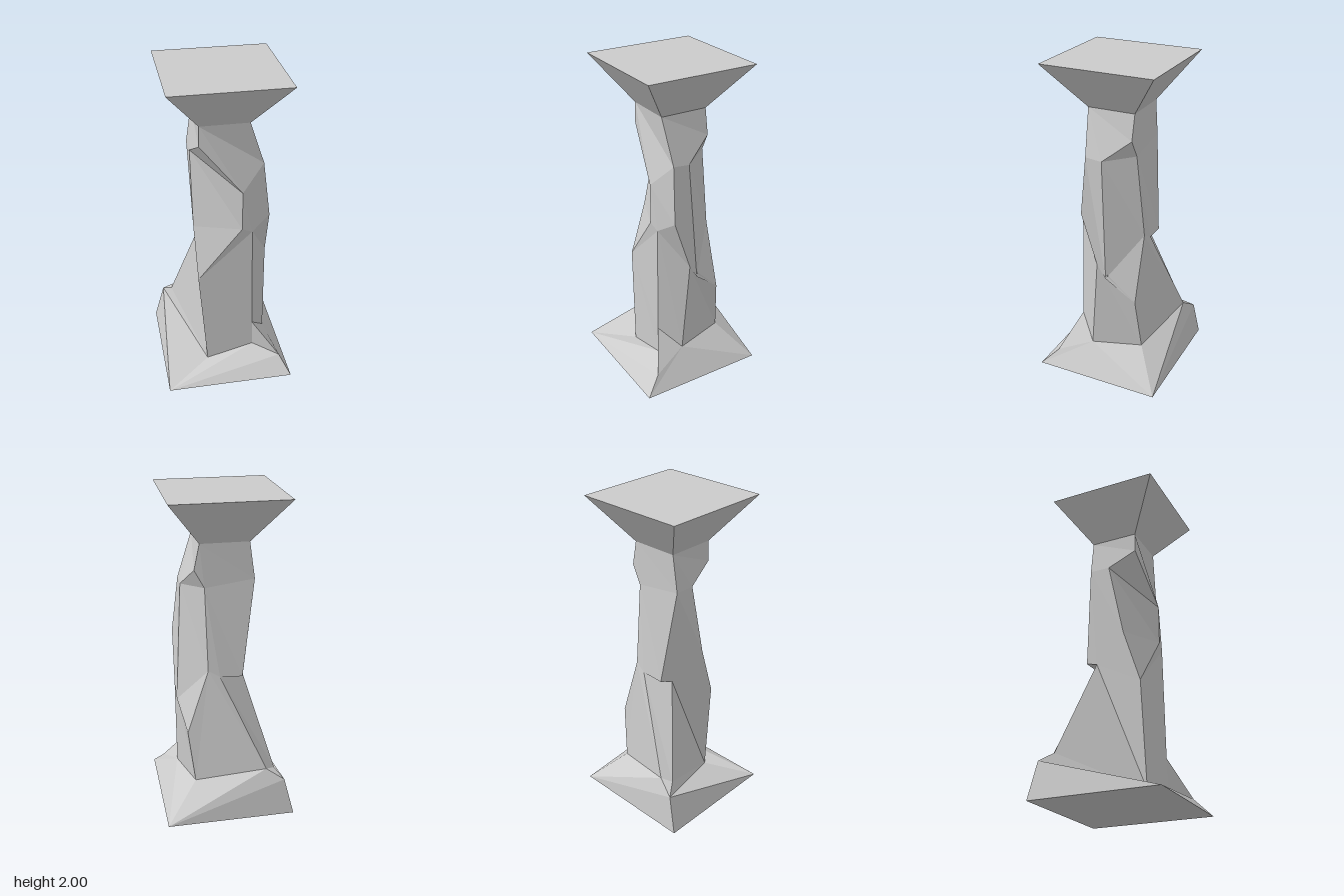
import * as THREE from 'three';

const material = new THREE.MeshStandardMaterial({ color: 0xcccccc, flatShading: true });

// Chipped corners of the stone, listed from the neck down.
// a: front right, b: front left, c: back left, d: back right (model's own sides)
// q: chips across the front, e: chips on the left side, h: hollow at the back
const N = 0.148, W = 0.4;
const corners = {
  a: [[-N, 1.725, N], [-0.15, 1.6, 0.15], [-0.18, 1.5, -0.02], [-0.18, 1.03, 0.08],
    [-0.17, 0.7, 0.186], [-0.12, 0.06, 0.2], [-W, 0, W]],
  b: [[N, 1.725, N], [0.24, 1.45, 0.125], [0.28, 1.1, 0.14], [0.285, 0.78, 0.035],
    [0.275, 0.19, 0.08], [0.34, 0.1, 0.3], [W, 0, W]],
  c: [[N, 1.725, -N], [0.18, 1.57, -0.145], [0.12, 1.46, -0.15], [0.11, 0.95, -0.2],
    [0.24, 0.54, -0.2], [0.2, 0.21, -0.23], [W, 0, -W]],
  d: [[-N, 1.725, -N], [-0.18, 1.5, -0.147], [-0.1, 0.9, -0.204], [-0.23, 0.31, -0.34],
    [-0.29, 0.29, -0.3], [-0.34, 0.24, -0.375], [-W, 0, -W]],
  q: [[0.1, 1.3, 0.2], [0.1, 1.05, 0.2], [0.165, 1.02, 0.19], [0.175, 0.32, 0.2], [0.18, 0.14, 0.2]],
  e: [[0.24, 1.44, 0.02], [0.28, 0.69, -0.02]],
  h: [[0.04, 0.91, -0.21], [-0.12, 0.875, -0.125]],
};

// Facets as counter-clockwise rings of corner names
const shaftFacets = [
  // front
  'a0 a1 q0 b1 b0', 'a1 a2 q0', 'a2 a3 q1 q0', 'a3 a4 q1', 'a4 a5 q4 q3 q2 q1',
  'q0 q1 q2 b2 b1', 'q2 b3 b2', 'q2 q3 b4 b3', 'q3 q4 b5 b4',
  // left side
  'b0 b1 e0 c1 c0', 'c1 e0 c2', 'b1 b2 b3 e1 e0', 'e0 e1 c3 c2', 'e1 c4 c3', 'b3 b4 c5 c4 e1',
  // back
  'c0 c1 c2 d1 d0', 'c2 c3 h0 d2 d1', 'c3 c4 c5 d3 h0', 'h0 h1 d2', 'h0 d3 d4 h1',
  // right side
  'd0 d1 a2 a1 a0', 'd1 d2 h1 a4 a3 a2', 'h1 d4 a5 a4',
];
const baseFacets = [
  'a6 b6 b5 q4 a5', 'b4 b5 b6 c6 c5', 'c6 d6 d5 d3 c5', 'd3 d5 d4', 'd5 d6 a6 a5 d4', 'a6 d6 c6 b6',
];

// Fans each facet into triangles
function facetMesh(name, facets) {
  const positions = [];
  for (const facet of facets) {
    const ring = facet.split(' ').map((key) => corners[key[0]][Number(key[1])]);
    for (let i = 1; i < ring.length - 1; i++) positions.push(...ring[0], ...ring[i], ...ring[i + 1]);
  }
  const geometry = new THREE.BufferGeometry();
  geometry.setAttribute('position', new THREE.Float32BufferAttribute(positions, 3));
  geometry.computeVertexNormals();
  const mesh = new THREE.Mesh(geometry, material);
  mesh.name = name;
  return mesh;
}

export function createModel() {
  const group = new THREE.Group();
  group.name = 'stonePillar';
  group.add(facetMesh('shaft', shaftFacets), facetMesh('base', baseFacets));

  // Flared square capital
  const flare = new THREE.CylinderGeometry(0.347 * Math.SQRT2, N * Math.SQRT2, 0.275, 4);
  flare.rotateY(Math.PI / 4);
  const capital = new THREE.Mesh(flare, material);
  capital.name = 'capital';
  capital.position.y = 1.8625;
  group.add(capital);
  return group;
}
